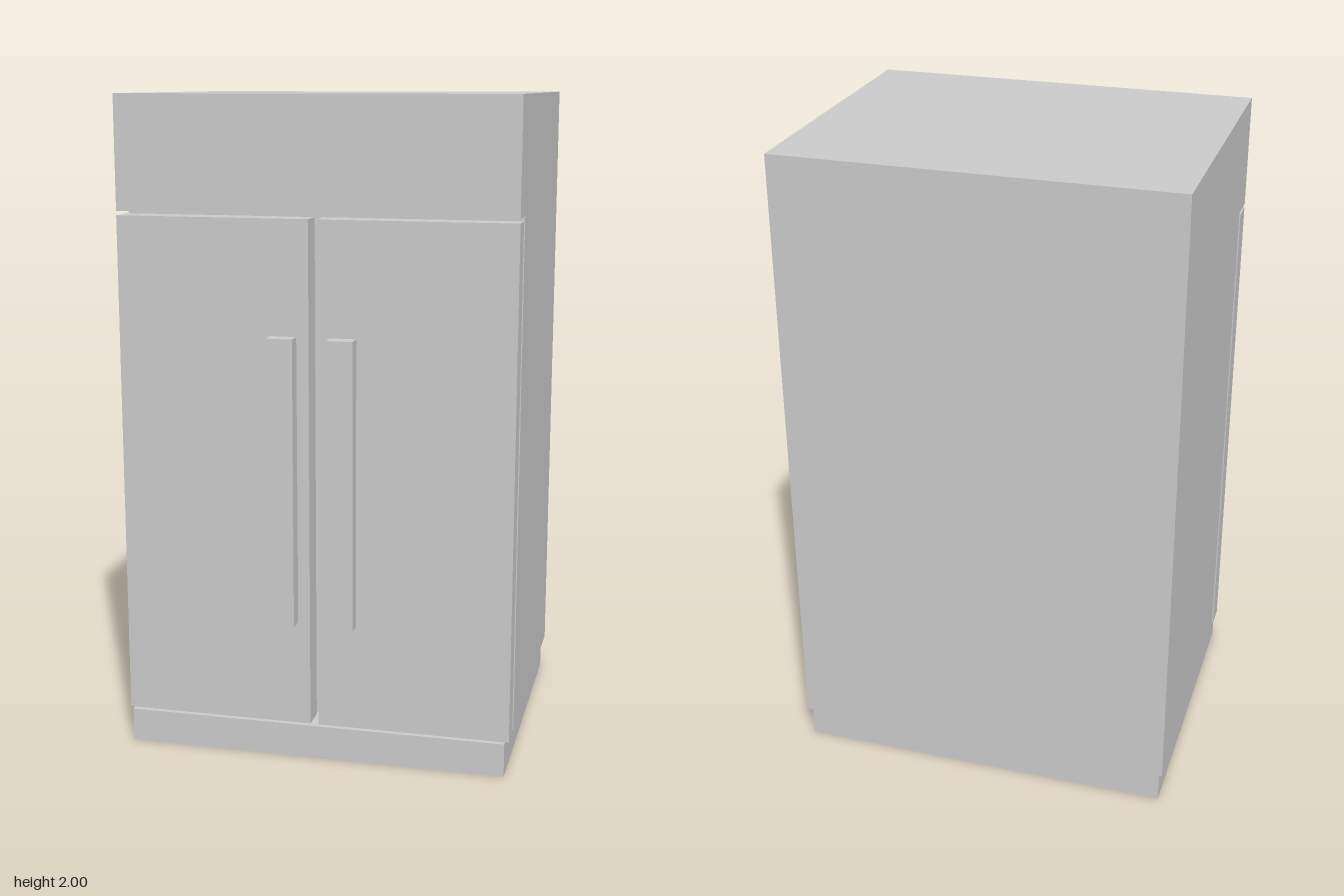
import * as THREE from 'three';

const material = new THREE.MeshStandardMaterial({ color: 0xcccccc, flatShading: true });

// Box given by its minimum and maximum corners
function box(name, [x0, y0, z0], [x1, y1, z1]) {
  const geometry = new THREE.BoxGeometry(x1 - x0, y1 - y0, z1 - z0);
  geometry.translate((x0 + x1) / 2, (y0 + y1) / 2, (z0 + z1) / 2);
  const mesh = new THREE.Mesh(geometry, material);
  mesh.name = name;
  return mesh;
}

// Cabinet: side profile (z, y) with a recess for the doors, extruded across the width
function makeCabinet(width) {
  const profile = new THREE.Shape([
    [-0.497, 0.103], [0.348, 0.103], [0.348, 1.66],
    [0.449, 1.66], [0.449, 2], [-0.497, 2],
  ].map(([z, y]) => new THREE.Vector2(z, y)));
  const geometry = new THREE.ExtrudeGeometry(profile, { depth: width, bevelEnabled: false });
  geometry.translate(0, 0, -width / 2);
  geometry.rotateY(-Math.PI / 2);
  const mesh = new THREE.Mesh(geometry, material);
  mesh.name = 'cabinet';
  return mesh;
}

export function createModel() {
  const model = new THREE.Group();
  model.name = 'refrigerator';

  model.add(makeCabinet(1.196));
  model.add(box('plinth', [-0.586, 0, -0.484], [0.586, 0.103, 0.461]));

  // Recessed seal between the cabinet and the doors
  model.add(box('doorSeal', [-0.583, 0.12, 0.348], [0.583, 1.632, 0.373]));

  // Mirrored doors, each with a bar handle near the centre
  for (const [side, s] of [['left', 1], ['right', -1]]) {
    const span = (a, b) => (s > 0 ? [a, b] : [-b, -a]);
    const [d0, d1] = span(0.013, 0.598);
    const [h0, h1] = span(0.05, 0.13);
    const door = new THREE.Group();
    door.name = side + 'Door';
    door.add(box(side + 'DoorPanel', [d0, 0.105, 0.373], [d1, 1.647, 0.449]));
    door.add(box(side + 'Handle', [h0, 0.43, 0.449], [h1, 1.304, 0.497]));
    model.add(door);
  }
  return model;
}
